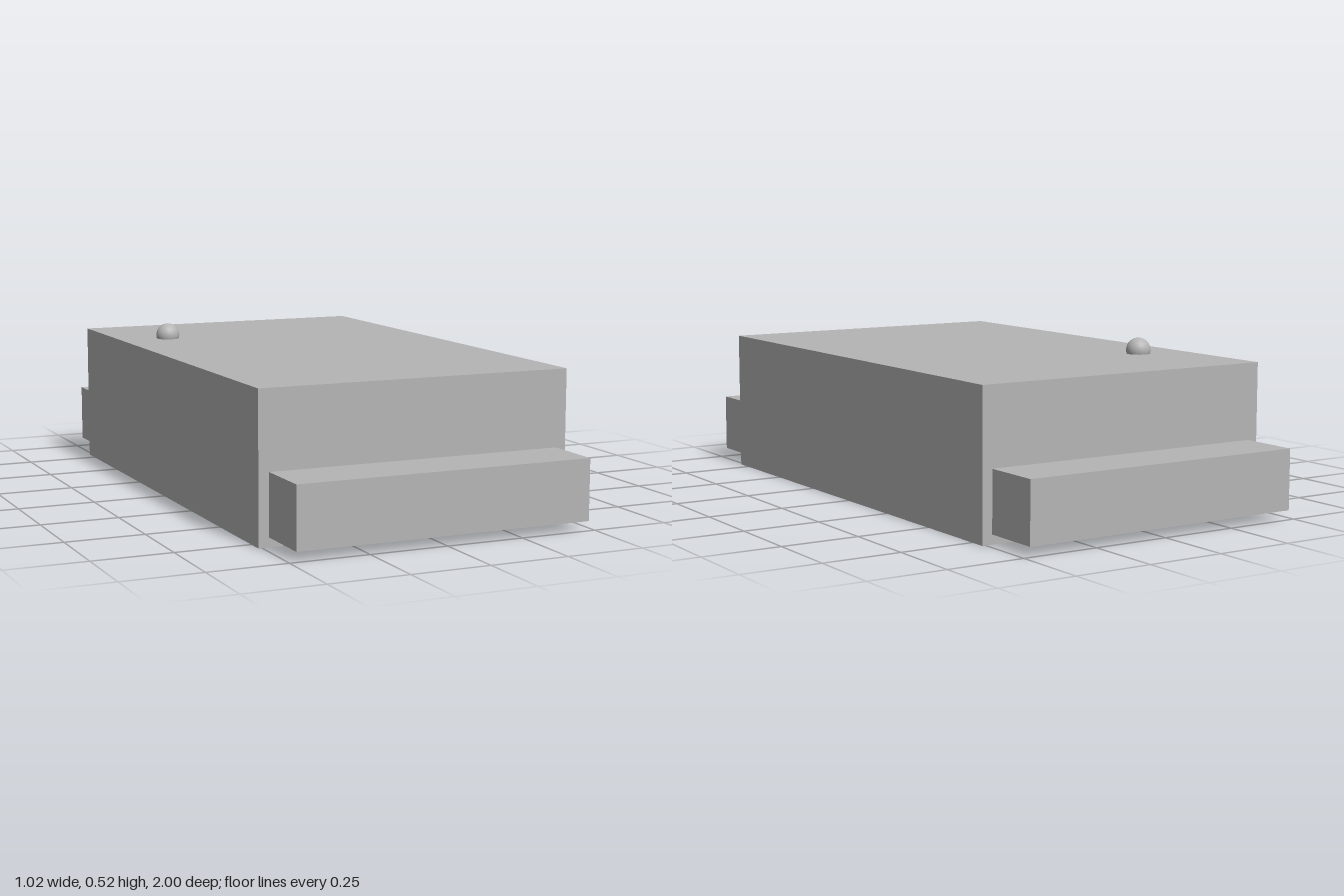
import * as THREE from 'three';

export function createModel() {
  const model = new THREE.Group();
  const grey = new THREE.MeshStandardMaterial({ color: 0xb5b5b5 });
  grey.name = 'grey';

  function add(name, geometry, x, y, z) {
    const mesh = new THREE.Mesh(geometry, grey);
    mesh.name = name;
    mesh.position.set(x, y, z);
    model.add(mesh);
  }

  // Main block
  add('body', new THREE.BoxGeometry(1.024, 0.466, 1.612), 0, 0.233, 0);

  // Matching end tabs, set slightly above the base
  for (const [name, side] of [['frontTab', 1], ['backTab', -1]]) {
    add(name, new THREE.BoxGeometry(0.958, 0.192, 0.194), 0, 0.126, side * 0.903);
  }

  // Small round marker, partly sunk into the top
  add('topMarker', new THREE.SphereGeometry(0.04, 24, 16), -0.344, 0.478, -0.412);

  return model;
}
